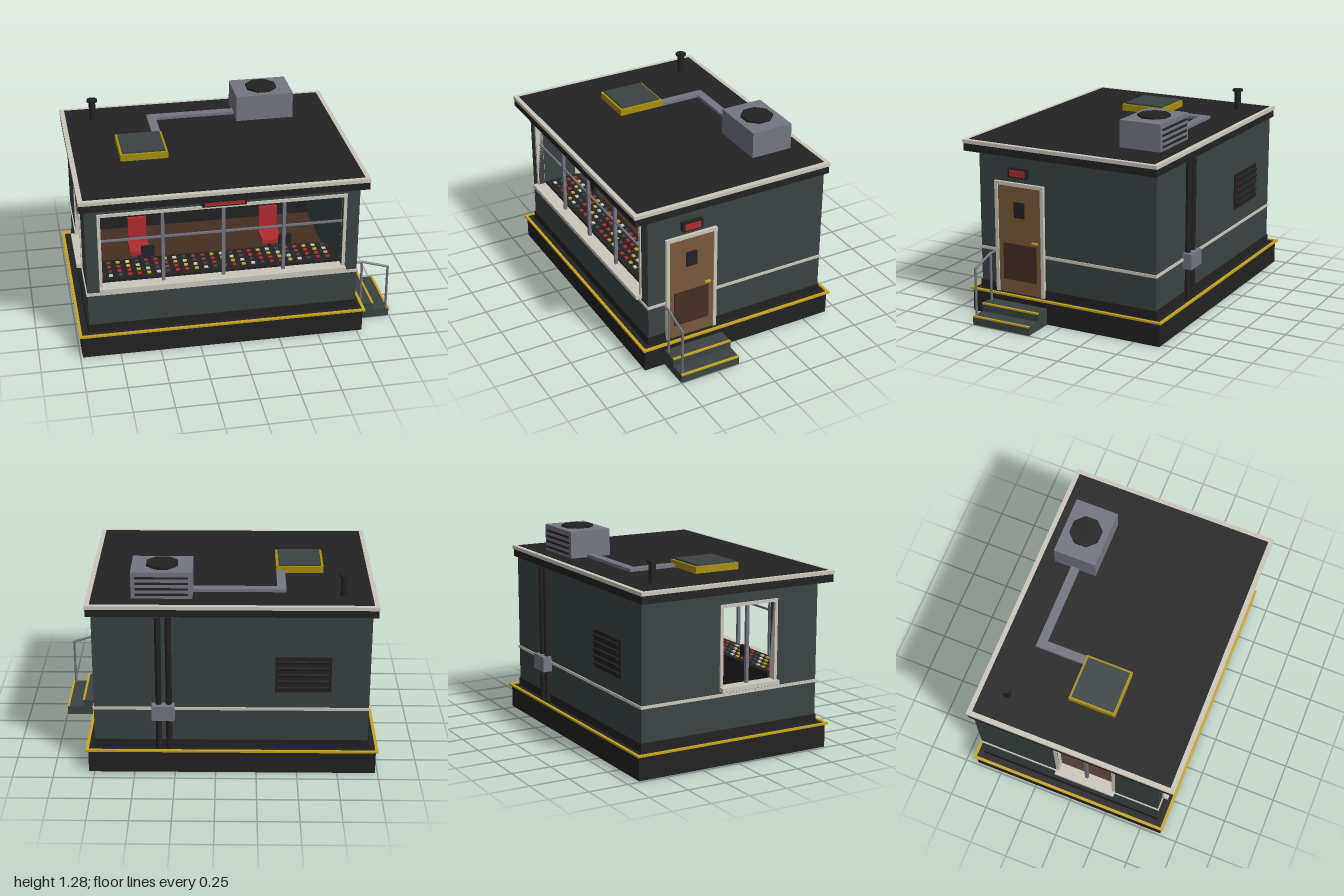
import * as THREE from 'three';

const mat = (name, color) => new THREE.MeshStandardMaterial({ name, color });
const black = mat('black', 0x222222), slate = mat('slate', 0x3a4343), cream = mat('cream', 0xcbc7bc),
  red = mat('red', 0xb02c30), yellow = mat('yellow', 0xc8a61e), ochre = mat('ochre', 0xa88f0e),
  tan = mat('tan', 0xcbbb6a), grey = mat('grey', 0x747682), brown = mat('brown', 0x79593a),
  darkBrown = mat('darkBrown', 0x452e24);

function add(parent, name, geometry, material) {
  const mesh = new THREE.Mesh(geometry, material);
  mesh.name = name;
  parent.add(mesh);
  return mesh;
}

// Box given by its limits on each axis
function box(parent, name, material, x0, x1, y0, y1, z0, z1) {
  const m = add(parent, name, new THREE.BoxGeometry(x1 - x0, y1 - y0, z1 - z0), material);
  m.position.set((x0 + x1) / 2, (y0 + y1) / 2, (z0 + z1) / 2);
  return m;
}

function tube(parent, name, material, r, a, b, sides = 8) {
  const from = new THREE.Vector3(...a), dir = new THREE.Vector3(...b).sub(from);
  const m = add(parent, name, new THREE.CylinderGeometry(r, r, dir.length(), sides), material);
  m.position.copy(from).addScaledVector(dir, 0.5);
  m.quaternion.setFromUnitVectors(new THREE.Vector3(0, 1, 0), dir.normalize());
  return m;
}

function rect(Type, u0, u1, v0, v1) {
  const s = new Type();
  s.moveTo(u0, v0); s.lineTo(u1, v0); s.lineTo(u1, v1); s.lineTo(u0, v1); s.closePath();
  return s;
}

// Rectangular plate with a rectangular hole, in the xy plane
function holed(outer, inner, depth) {
  const shape = rect(THREE.Shape, ...outer);
  shape.holes.push(rect(THREE.Path, ...inner));
  return new THREE.ExtrudeGeometry(shape, { depth, bevelEnabled: false });
}

// Flat ring lying around the building
function ring(parent, name, material, x0, x1, y0, y1, z0, z1, t) {
  const g = holed([x0, x1, -z1, -z0], [x0 + t, x1 - t, -z1 + t, -z0 - t], y1 - y0).rotateX(-Math.PI / 2);
  add(parent, name, g, material).position.y = y0;
}

// Wall facing +z with framed window, sill and mullions
function windowWall(parent, name, w0, w1, face, u0, u1, mullions) {
  const g = new THREE.Group();
  g.name = name;
  parent.add(g);
  const t = 0.04, y0 = 0.455, y1 = 0.945;
  add(g, 'wall', holed([w0, w1, 0.2, 1.03], [u0, u1, y0, y1], t), slate).position.z = face - t;
  add(g, 'windowFrame', holed([u0 - 0.02, u1 + 0.02, 0.445, 0.965], [u0, u1, 0.465, y1], 0.05), cream)
    .position.z = face - 0.042;
  box(g, 'sill', cream, u0 - 0.02, u1 + 0.02, 0.442, 0.467, face - 0.045, face + 0.038);
  for (const u of mullions) box(g, 'mullion', grey, u - 0.01, u + 0.01, 0.465, y1, face - 0.03, face - 0.01);
  return g;
}

// Lit sign box facing +z
function sign(parent, u0, u1, y0, y1, face) {
  const g = new THREE.Group();
  g.name = 'sign';
  parent.add(g);
  box(g, 'signCase', black, u0, u1, y0, y1, face - 0.01, face + 0.03);
  box(g, 'signPanel', red, u0 + 0.015, u1 - 0.015, y0 + 0.01, y1 - 0.01, face + 0.03, face + 0.036);
  return g;
}

function buildShell(root) {
  // Plinth, trim and skirting
  box(root, 'plinth', black, -0.985, 0.785, 0, 0.15, -0.67, 0.635);
  ring(root, 'plinthTrim', yellow, -1, 0.8, 0.145, 0.157, -0.685, 0.65, 0.018);
  box(root, 'skirting', black, -0.941, 0.751, 0.15, 0.205, -0.631, 0.596);

  // Walls
  const front = windowWall(root, 'frontWall', -0.935, 0.745, 0.59, -0.84, 0.645, [-0.465, -0.095, 0.28]);
  box(front, 'crossbar', grey, -0.84, 0.645, 0.764, 0.776, 0.564, 0.576);
  const left = windowWall(root, 'sideWindowWall', -0.585, 0.55, 0.935, -0.08, 0.28, [0.1]);
  left.rotation.y = -Math.PI / 2;
  box(root, 'backWall', slate, -0.935, 0.745, 0.2, 1.03, -0.625, -0.585);
  box(root, 'doorWall', slate, 0.705, 0.745, 0.2, 1.03, -0.585, 0.55);
  ring(root, 'wallBand', cream, -0.942, 0.752, 0.41, 0.428, -0.632, 0.597, 0.008);
  sign(root, -0.23, 0.04, 0.967, 1.025, 0.59);

  // Roof
  box(root, 'roofSlab', black, -0.968, 0.778, 1.03, 1.08, -0.638, 0.683);
  ring(root, 'roofEdge', cream, -0.972, 0.782, 1.078, 1.1, -0.645, 0.688, 0.03);
  box(root, 'roofMembrane', black, -0.942, 0.752, 1.08, 1.103, -0.615, 0.658);
}

function buildDoor(root) {
  const g = new THREE.Group();
  g.name = 'door';
  root.add(g);
  box(g, 'doorLeaf', brown, 0.74, 0.757, 0.155, 0.845, 0.15, 0.455);
  for (const [z0, z1] of [[0.13, 0.152], [0.453, 0.475]])
    box(g, 'doorJamb', cream, 0.74, 0.765, 0.155, 0.865, z0, z1);
  box(g, 'doorHead', cream, 0.74, 0.765, 0.843, 0.865, 0.152, 0.453);
  box(g, 'doorWindow', black, 0.757, 0.762, 0.645, 0.745, 0.265, 0.34);
  box(g, 'kickPlate', darkBrown, 0.757, 0.762, 0.24, 0.475, 0.185, 0.42);
  box(g, 'doorHandle', yellow, 0.757, 0.772, 0.493, 0.504, 0.175, 0.212);
  const s = sign(g, -0.37, -0.235, 0.9, 0.96, 0.745);
  s.rotation.y = Math.PI / 2;

  // Steps with bright nosings
  for (const [x0, x1, y] of [[0.785, 0.895, 0.105], [0.895, 1, 0.055]]) {
    box(g, 'step', slate, x0, x1 - 0.002, 0, y, 0.1, 0.5);
    box(g, 'stepNosing', yellow, x1 - 0.014, x1, y - 0.006, y + 0.004, 0.1, 0.5);
  }
  // Handrail
  tube(g, 'railPost', grey, 0.008, [0.81, 0.1, 0.485], [0.81, 0.41, 0.485]);
  tube(g, 'railPost', grey, 0.008, [0.98, 0.05, 0.485], [0.98, 0.36, 0.485]);
  tube(g, 'handrail', grey, 0.008, [0.745, 0.408, 0.485], [0.815, 0.408, 0.485]);
  tube(g, 'handrail', grey, 0.008, [0.81, 0.41, 0.485], [0.984, 0.357, 0.485]);
}

function buildRoofGear(root) {
  // Hatch
  box(root, 'hatchCurb', ochre, -0.665, -0.37, 1.1, 1.145, -0.105, 0.195);
  box(root, 'hatchLid', slate, -0.65, -0.385, 1.145, 1.155, -0.09, 0.18);
  // Duct
  box(root, 'duct', grey, -0.425, -0.37, 1.1, 1.122, -0.365, -0.105);
  box(root, 'duct', grey, -0.425, 0.14, 1.1, 1.122, -0.42, -0.365);
  // Air conditioner
  box(root, 'airUnit', grey, 0.14, 0.51, 1.1, 1.272, -0.53, -0.257);
  const fan = tube(root, 'airUnitFan', black, 0.102, [0.325, 1.27, -0.393], [0.325, 1.285, -0.393], 8);
  fan.rotation.y = Math.PI / 8;
  for (let i = 0; i < 4; i++) {
    const y = 1.13 + i * 0.035;
    box(root, 'airUnitLouvre', black, 0.165, 0.485, y - 0.006, y + 0.006, -0.537, -0.53);
  }
  // Flue
  tube(root, 'flue', black, 0.022, [-0.77, 1.1, -0.46], [-0.77, 1.226, -0.46], 10);
  tube(root, 'flueCap', black, 0.035, [-0.77, 1.224, -0.46], [-0.77, 1.238, -0.46], 10);
}

function buildBack(root) {
  // Conduits and junction box
  for (const x of [0.285, 0.348]) tube(root, 'conduit', black, 0.019, [x, 0.15, -0.641], [x, 1.03, -0.641]);
  box(root, 'junctionBox', grey, 0.25, 0.39, 0.36, 0.458, -0.685, -0.625);
  // Wall vent
  box(root, 'ventPlate', black, -0.7, -0.36, 0.535, 0.767, -0.634, -0.62);
  for (let i = 0; i < 5; i++) {
    const y = 0.565 + i * 0.043;
    box(root, 'ventSlat', black, -0.685, -0.375, y - 0.007, y + 0.007, -0.648, -0.634).rotation.x = -0.3;
  }
}

function buildInterior(root) {
  const g = new THREE.Group();
  g.name = 'interior';
  root.add(g);
  box(g, 'floor', darkBrown, -0.9, 0.71, 0.204, 0.21, -0.59, 0.555);
  box(g, 'backLining', black, -0.895, 0.705, 0.21, 1.03, -0.585, -0.578);
  // Wall of display panels
  box(g, 'displayBoard', black, -0.8, 0.61, 0.48, 0.87, -0.578, -0.55);
  const columns = [[-0.77, -0.485], [-0.425, -0.108], [-0.08, 0.235], [0.285, 0.57]];
  const colours = [[slate, red, tan, cream], [red, tan, cream, red]];
  colours.forEach((row, r) => row.forEach((m, c) => {
    const y = r ? 0.51 : 0.69;
    box(g, 'displayPanel', m, ...columns[c], y, y + 0.145, -0.55, -0.542);
  }));
  // Control console with rows of buttons
  box(g, 'console', black, -0.83, 0.635, 0.21, 0.483, 0.31, 0.545);
  const buttons = [red, slate, yellow, red, cream];
  for (let r = 0; r < 4; r++) for (let i = 0; i < 24; i++) {
    const x = -0.78 + i * 0.059, z = 0.35 + r * 0.05;
    box(g, 'button', buttons[(i * 2 + r * 3) % 5], x - 0.012, x + 0.012, 0.483, 0.491, z - 0.01, z + 0.01);
  }
  // Monitors and chairs
  for (const x of [-0.53, 0.34]) {
    box(g, 'monitor', black, x - 0.04, x + 0.04, 0.51, 0.58, 0.33, 0.35);
    box(g, 'monitorStand', black, x - 0.01, x + 0.01, 0.48, 0.52, 0.335, 0.345);
    const c = x - 0.01;
    box(g, 'chairSeat', red, c - 0.065, c + 0.065, 0.33, 0.36, -0.14, 0.02);
    box(g, 'chairBack', red, c - 0.06, c + 0.06, 0.36, 0.525, -0.15, -0.125);
    tube(g, 'chairPost', black, 0.012, [c, 0.21, -0.06], [c, 0.33, -0.06]);
    tube(g, 'chairBase', black, 0.06, [c, 0.21, -0.06], [c, 0.222, -0.06]);
  }
}

export function createModel() {
  const root = new THREE.Group();
  root.name = 'controlCabin';
  buildShell(root);
  buildDoor(root);
  buildRoofGear(root);
  buildBack(root);
  buildInterior(root);
  return root;
}
